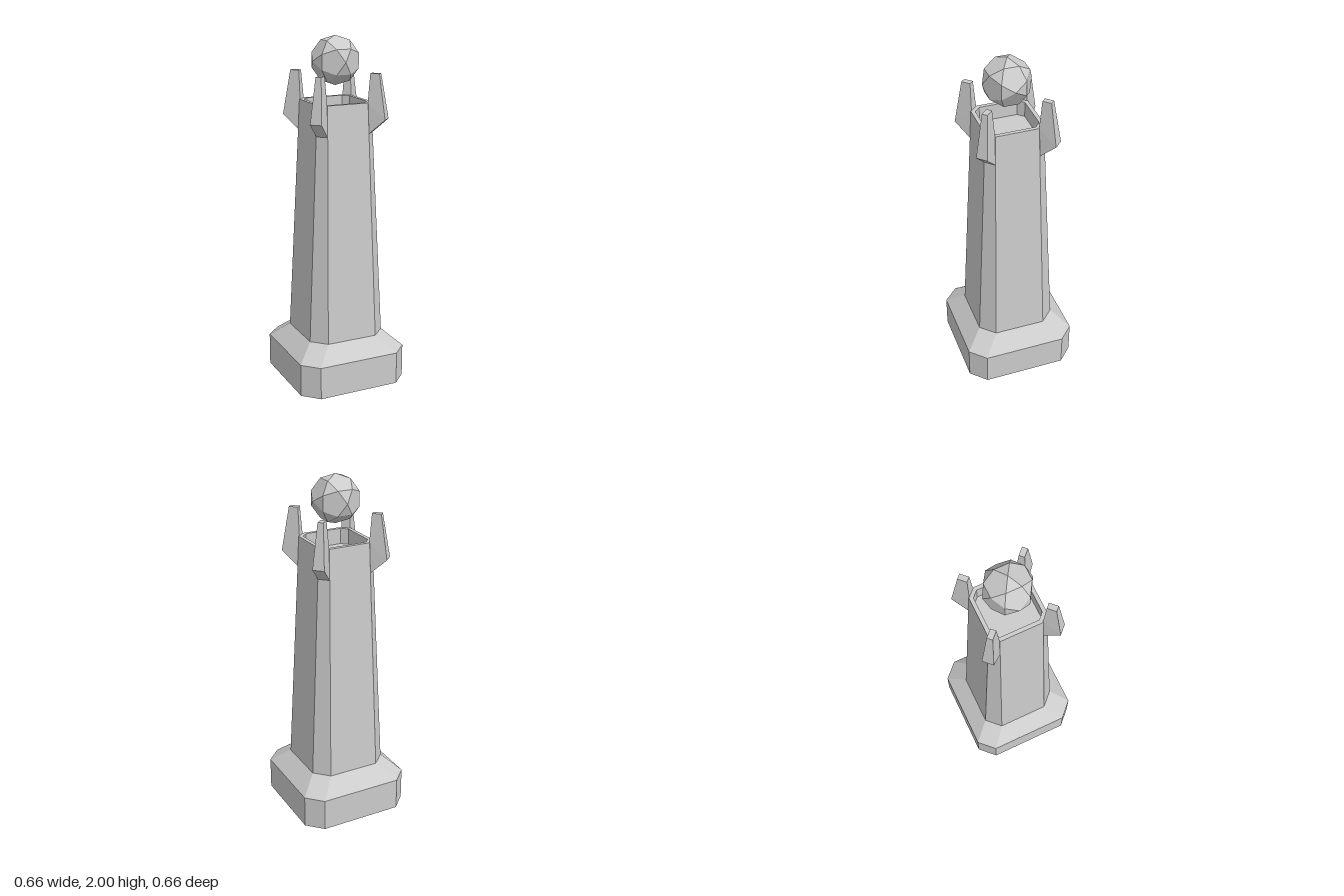
import * as THREE from 'three';
import { ConvexGeometry } from 'three/addons/geometries/ConvexGeometry.js';

const material = new THREE.MeshStandardMaterial({
  color: 0xcccccc, flatShading: true, side: THREE.DoubleSide,
});

function part(name, geometry) {
  const mesh = new THREE.Mesh(geometry, material);
  mesh.name = name;
  return mesh;
}

// Square with cut corners: h = half width, f = half length of each flat side
const octagon = ([y, h, f]) => [
  [h, -f], [h, f], [f, h], [-f, h], [-h, f], [-h, -f], [-f, -h], [f, -h],
].map(([x, z]) => [x, y, z]);

// Skin a stack of [y, h, f] sections
function loft(sections) {
  const rings = sections.map(octagon);
  const positions = [];
  for (let i = 0; i < rings.length - 1; i++) {
    for (let j = 0; j < 8; j++) {
      const k = (j + 1) % 8;
      const a = rings[i][j], b = rings[i][k];
      const c = rings[i + 1][k], d = rings[i + 1][j];
      positions.push(...a, ...d, ...b, ...b, ...d, ...c);
    }
  }
  const geometry = new THREE.BufferGeometry();
  geometry.setAttribute('position', new THREE.Float32BufferAttribute(positions, 3));
  geometry.computeVertexNormals();
  return geometry;
}

// Claw profile along +x as [radius, height, half thickness]
function clawGeometry() {
  const profile = [
    [0.208, 1.465, 0.033], [0.303, 1.55, 0.033], [0.262, 1.8, 0.016],
    [0.21, 1.8, 0.016], [0.2, 1.64, 0.027],
  ];
  return new ConvexGeometry(profile.flatMap(([r, y, w]) => [
    new THREE.Vector3(r, y, w), new THREE.Vector3(r, y, -w),
  ]));
}

// Ball of 12 pentagons and 20 triangles
function ballGeometry(radius) {
  const points = [];
  const addCyclic = (x, y, z) => {
    for (const p of [[x, y, z], [y, z, x], [z, x, y]]) {
      points.push(new THREE.Vector3(...p).multiplyScalar(radius));
    }
  };
  const big = (1 + Math.sqrt(5)) / 4, small = big - 0.5;
  for (const sx of [-1, 1]) {
    addCyclic(sx, 0, 0);
    for (const sy of [-1, 1]) {
      for (const sz of [-1, 1]) addCyclic(0.5 * sx, big * sy, small * sz);
    }
  }
  return new ConvexGeometry(points);
}

export function createModel() {
  const model = new THREE.Group();
  model.name = 'orbTower';

  // Hollow base, open underneath
  model.add(part('base', loft([[0, 0.328, 0.241], [0.19, 0.328, 0.241], [0.28, 0.23, 0.151]])));

  // Tapering shaft
  model.add(part('shaft', loft([[0.28, 0.23, 0.151], [1.64, 0.165, 0.122]])));

  // Rim and sunken top
  model.add(part('rim', loft([
    [1.64, 0.165, 0.122], [1.64, 0.143, 0.11], [1.55, 0.143, 0.11], [1.55, 0.001, 0.0007],
  ])));

  // Claws on the four cut corners
  const claw = clawGeometry();
  for (let i = 0; i < 4; i++) {
    const mesh = part('claw', claw);
    mesh.rotation.y = Math.PI / 4 + i * Math.PI / 2;
    model.add(mesh);
  }

  // Floating ball
  const ball = part('ball', ballGeometry(0.138));
  ball.position.y = 1.862;
  model.add(ball);

  return model;
}
